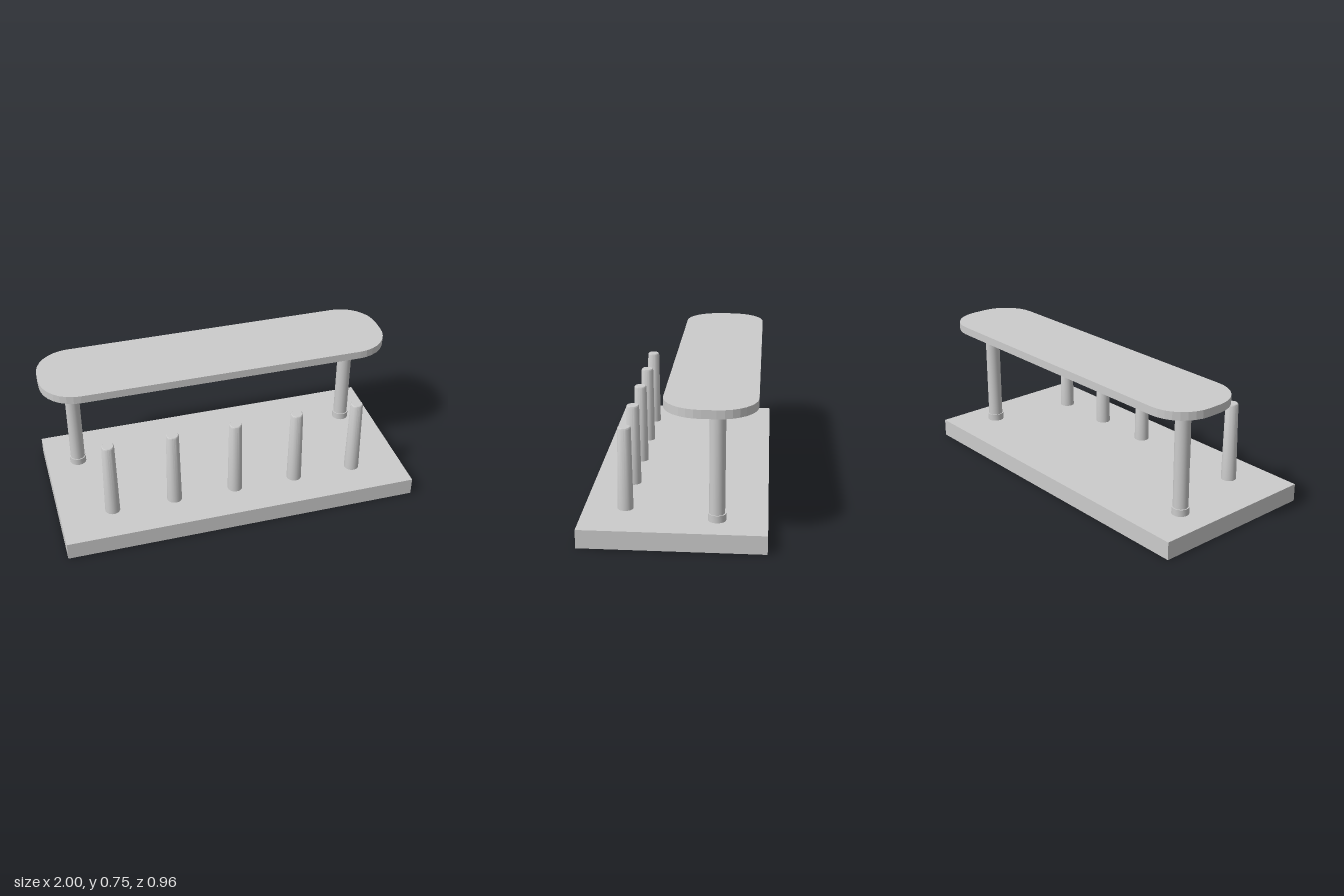
import * as THREE from 'three';
import { toCreasedNormals } from 'three/addons/utils/BufferGeometryUtils.js';

const material = new THREE.MeshStandardMaterial({ color: 0xcccccc });

function part(name, geometry, x = 0, y = 0, z = 0) {
  const mesh = new THREE.Mesh(geometry, material);
  mesh.name = name;
  mesh.position.set(x, y, z);
  return mesh;
}

// Turned part from [radius, height] pairs, listed bottom to top
function turned(profile) {
  const points = profile.map(([r, y]) => new THREE.Vector2(r, y));
  return toCreasedNormals(new THREE.LatheGeometry(points, 24), 0.5);
}

// Flat board with rounded corners, lying on y = 0
function roundedBoard(width, depth, radius, thickness) {
  const x = width / 2 - radius, y = depth / 2 - radius;
  const shape = new THREE.Shape();
  shape.absarc(x, y, radius, 0, Math.PI / 2);
  shape.absarc(-x, y, radius, Math.PI / 2, Math.PI);
  shape.absarc(-x, -y, radius, Math.PI, Math.PI * 1.5);
  shape.absarc(x, -y, radius, Math.PI * 1.5, Math.PI * 2);
  const board = new THREE.ExtrudeGeometry(shape, { depth: thickness, bevelEnabled: false, curveSegments: 4 });
  return board.rotateX(-Math.PI / 2);
}

export function createModel() {
  const model = new THREE.Group();
  model.name = 'pegStand';

  model.add(part('base', new THREE.BoxGeometry(2, 0.1, 0.96), 0, 0.05, 0));
  model.add(part('topShelf', roundedBoard(2, 0.474, 0.2, 0.045), 0, 0.7, -0.184));

  // Two posts with a collar at each end carry the shelf
  const post = turned([
    [0, 0.1], [0.047, 0.1], [0.047, 0.139], [0.041, 0.139],
    [0.041, 0.672], [0.048, 0.672], [0.048, 0.7], [0, 0.7],
  ]);
  for (const side of [-1, 1]) {
    model.add(part(side > 0 ? 'leftPost' : 'rightPost', post, side * 0.82, 0, -0.22));
  }

  // Row of tapered pegs with softened tips
  const peg = turned([
    [0, 0.1], [0.042, 0.1], [0.035, 0.54], [0.033, 0.546], [0.03, 0.549], [0, 0.549],
  ]);
  for (let i = -2; i <= 2; i++) {
    model.add(part(`peg${i + 3}`, peg, i * 0.354, 0, 0.263));
  }

  return model;
}
